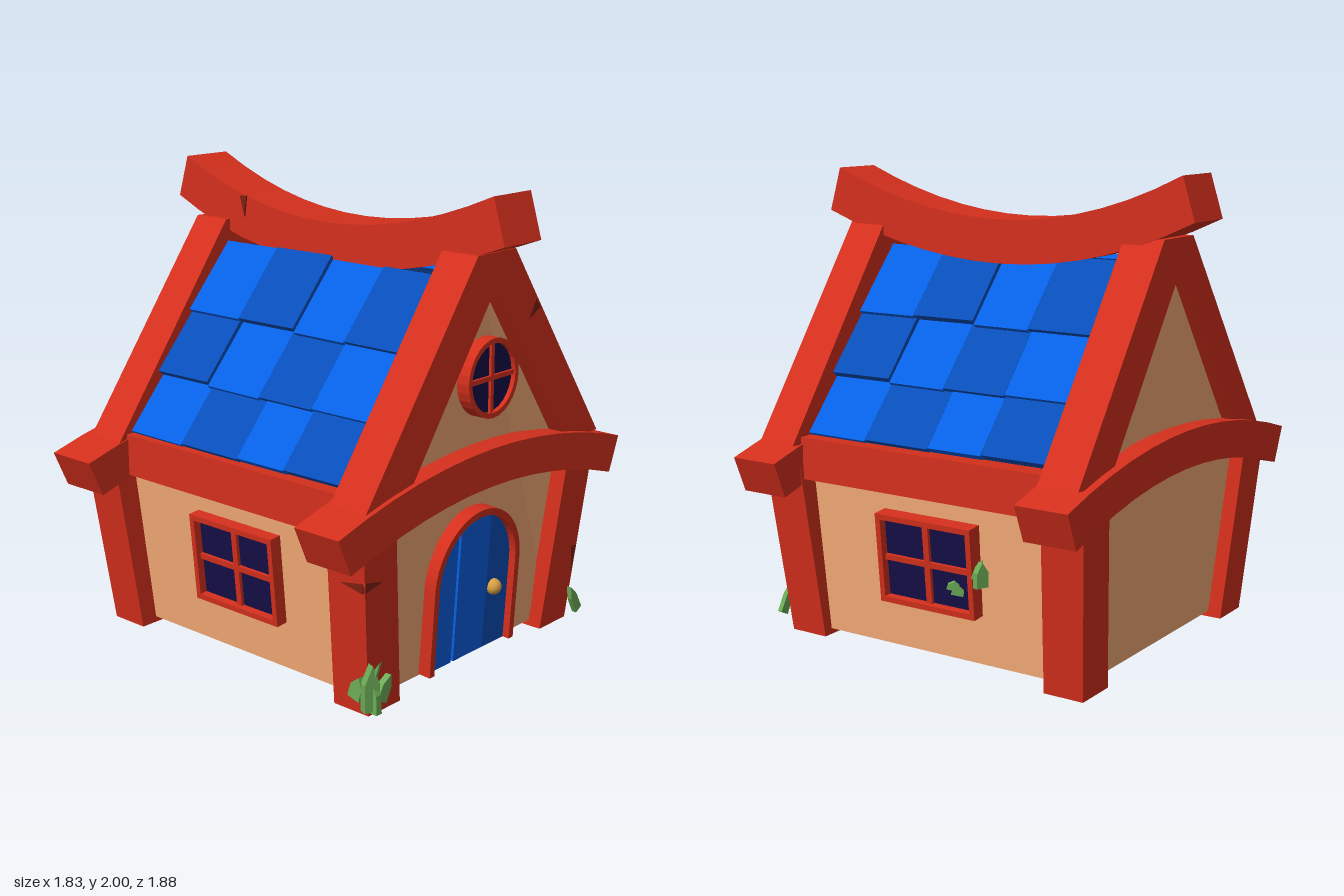
import * as THREE from 'three';

const mat = (color) => new THREE.MeshStandardMaterial({ color, flatShading: true });
const M = {
  wood: mat(0xd42f1c), crack: mat(0x7c1d12), wall: mat(0xf5ab76), glass: mat(0x150e48),
  blue: mat(0x0660e4), blueDark: mat(0x084eba), gap: mat(0x0a2a60), leaf: mat(0x6bab56), brass: new THREE.MeshStandardMaterial({ color: 0xd8a045 }),
};

function add(parent, name, geometry, material, x = 0, y = 0, z = 0) {
  const mesh = new THREE.Mesh(geometry, material);
  mesh.name = name;
  mesh.position.set(x, y, z);
  parent.add(mesh);
  return mesh;
}
const box = (w, h, d) => new THREE.BoxGeometry(w, h, d);
const poly = (pts) => new THREE.Shape(pts.map(([a, b]) => new THREE.Vector2(a, b)));
const extrude = (shape, depth) => new THREE.ExtrudeGeometry(shape, { depth, bevelEnabled: false, curveSegments: 14 });
// Extrudes a (z, y) outline from x0 to x1
const extrudeX = (shape, x0, x1) => extrude(shape, x1 - x0).rotateY(-Math.PI / 2).translate(x1, 0, 0);

// Moves every vertex by a rule
function warp(geometry, rule) {
  const p = geometry.attributes.position, v = new THREE.Vector3();
  for (let i = 0; i < p.count; i++) {
    rule(v.fromBufferAttribute(p, i));
    p.setXYZ(i, v.x, v.y, v.z);
  }
  geometry.computeVertexNormals();
  return geometry;
}

// Closed band between two curves sampled across their length
function bandShape(top, bottom, n = 12) {
  const pts = [];
  for (let i = 0; i <= n; i++) pts.push(bottom(-1 + (2 * i) / n));
  for (let i = n; i >= 0; i--) pts.push(top(-1 + (2 * i) / n));
  return poly(pts);
}

// Group on a wall: local z points outward, tilt leans it with the wall
function mount(parent, name, x, y, z, turn, tilt) {
  const g = new THREE.Group();
  g.name = name;
  g.position.set(x, y, z);
  g.rotation.set(tilt, turn, 0, 'YXZ');
  parent.add(g);
  return g;
}

function squareWindow(g) {
  const w = 0.237, h = 0.193, t = 0.024;
  const frame = poly([[-w, -h], [w, -h], [w, h], [-w, h]]);
  frame.holes.push(poly([[-w + t, -h + t], [-w + t, h - t], [w - t, h - t], [w - t, -h + t]]));
  add(g, 'windowFrame', extrude(frame, 0.075), M.wood, 0, 0, -0.03);
  add(g, 'windowPane', box(2 * w - t, 2 * h - t, 0.02), M.glass);
  add(g, 'windowMullion', box(0.028, 2 * h - t, 0.03), M.wood, 0, 0, 0.01);
  add(g, 'windowTransom', box(2 * w - t, 0.024, 0.03), M.wood, 0, 0, 0.01);
}

function roundWindow(g) {
  const ring = new THREE.Shape().absarc(0, 0, 0.165, 0, Math.PI * 2);
  ring.holes.push(new THREE.Path().absarc(0, 0, 0.143, 0, Math.PI * 2, true));
  add(g, 'roundWindowFrame', extrude(ring, 0.06), M.wood, 0, 0, -0.025);
  add(g, 'roundWindowPane', new THREE.CylinderGeometry(0.15, 0.15, 0.03, 28).rotateX(Math.PI / 2), M.glass);
  add(g, 'roundWindowMullion', box(0.02, 0.3, 0.03), M.wood, 0, 0, 0.012);
  add(g, 'roundWindowTransom', box(0.3, 0.02, 0.03), M.wood, 0, 0, 0.012);
}

// Arched outline from x = a to x = b, cut from an arch of radius r
function archShape(r, spring, a = -r, b = r) {
  const pts = [[a, 0], [b, 0]];
  for (let i = 0; i <= 16; i++) {
    const x = b + ((a - b) * (1 - Math.cos((i / 16) * Math.PI))) / 2;
    pts.push([x, spring + Math.sqrt(Math.max(0, r * r - x * x))]);
  }
  return poly(pts);
}

function door(g) {
  const R = 0.285, r = 0.255, s = 0.375;
  const frame = new THREE.Shape();
  frame.moveTo(-R, 0).lineTo(-r, 0).lineTo(-r, s).absarc(0, s, r, Math.PI, 0, true);
  frame.lineTo(r, 0).lineTo(R, 0).lineTo(R, s).absarc(0, s, R, 0, Math.PI, false);
  add(g, 'doorFrame', extrude(frame, 0.1), M.wood, 0, 0, -0.045);
  add(g, 'doorBacking', extrude(archShape(r, s), 0.02), M.gap, 0, 0, -0.01);
  // Planks with a narrow gap after the first
  [[-r, -0.108, M.blue], [-0.092, 0.105, M.blue], [0.105, r, M.blueDark]].forEach(([a, b, m]) =>
    add(g, 'doorPlank', extrude(archShape(r, s, a, b), 0.015), m, 0, 0, 0.008));
  add(g, 'doorKnob', new THREE.SphereGeometry(0.035, 16, 12), M.brass, 0.147, 0.27, 0.03);
}

// One slope of staggered tiles, lower edges lifted over the row below
function tiles(parent, turn, eaveZ, cols) {
  const slope = mount(parent, 'roofTiles', 0, 0.9, 0, turn, 0);
  const face = new THREE.Group();
  face.position.z = eaveZ;
  face.rotation.x = -Math.atan2(0.57, 0.74);
  slope.add(face);
  const rows = [0, 0.275, 0.585, 0.93];
  add(face, 'roofUnderlay', box(1.22, 0.92, 0.02), M.gap, 0, 0.46, -0.025);
  for (let r = 0; r < 3; r++) for (let c = 0; c < 4; c++) {
    const x0 = cols[r][c], x1 = cols[r][c + 1], h = rows[r + 1] - rows[r];
    const wobble = ((r * 7 + c * 5) % 4 - 1.5) * 0.004;
    const t = add(face, 'roofTile', box(x1 - x0 - 0.004, h + 0.02, 0.03), (r + c) % 2 ? M.blueDark : M.blue,
      (x0 + x1) / 2, rows[r] + h / 2 + wobble, wobble);
    t.rotation.set(-0.07, 0, wobble);
  }
}

function crack(parent, x, y, z, turn, angle, length, width) {
  const g = mount(parent, 'woodCrack', x, y, z, turn, 0);
  add(g, 'crackWedge', extrude(poly([[0, -width / 2], [length, 0], [0, width / 2]]), 0.01), M.crack).rotation.z = angle;
}

// Stubby pointed leaf standing on its base
function leaf(parent, x, y, z, r, h, lean = 0, turn = 0) {
  const g = mount(parent, 'leaf', x, y, z, turn, 0);
  const blade = poly([[-r, 0], [r, 0], [r * 0.9, h * 0.6], [0, h], [-r, h * 0.6]]);
  add(g, 'leafBlade', extrude(blade, r).translate(0, 0, -r / 2), M.leaf).rotation.z = lean;
}

export function createModel() {
  const house = new THREE.Group();
  house.name = 'cottage';

  // Plaster body, flaring upward to the eaves
  const body = extrudeX(poly([[-0.61, 0.025], [0.61, 0.025], [0.68, 0.82], [0, 1.61], [-0.66, 0.82]]), -0.74, 0.74);
  add(house, 'walls', warp(body, (v) => { if (v.y < 0.1) v.x *= 0.93; }), M.wall);

  // Corner posts leaning outward
  for (const sx of [-1, 1]) for (const sz of [-1, 1]) {
    const baseZ = sx > 0 && sz < 0 ? 0.558 : 0.592;
    const post = warp(box(0.18, 0.79, 0.19).translate(0, 0.395, 0), (v) => {
      v.x = v.x * (1 + 0.08 * v.y) + sx * (0.66 + 0.06 * v.y);
      v.z += sz * (baseZ + 0.12 * v.y);
    });
    add(house, 'cornerPost', post, M.wood);
  }

  // Gable rafters and curved tie beams
  const rafters = poly([[0.765, 0.86], [0.11, 1.745], [-0.135, 1.745], [-0.775, 0.86], [-0.545, 0.85], [-0.005, 1.6], [0.535, 0.85]]);
  const tie = bandShape((t) => [0.92 * t + 0.018, 0.955 - 0.145 * t * t], (t) => [0.855 * t + 0.015, 0.795 - 0.14 * t * t]);
  for (const [side, r0, r1, t0, t1] of [['left', 0.62, 0.8, 0.605, 0.827], ['right', -0.775, -0.592, -0.815, -0.58]]) {
    add(house, side + 'GableRafters', extrudeX(rafters, r0, r1), M.wood);
    add(house, side + 'TieBeam', warp(extrudeX(tie, t0, t1), (v) => { v.x -= 0.008 * v.z; }), M.wood);
  }

  // Eave beams and sagging, slightly skewed ridge beam
  for (const s of [-1, 1]) add(house, 'eaveBeam', box(1.28, 0.18, 0.12), M.wood, 0, 0.8, s * 0.662);
  const ridge = bandShape((t) => [0.86 * t, 1.79 + (0.2 - 0.01 * t) * t * t], (t) => [0.917 * t, 1.605 + (0.2 - 0.015 * t) * t * t], 14);
  add(house, 'ridgeBeam', warp(extrude(ridge, 0.24), (v) => { v.z += 0.009 * v.x - 0.147; }), M.wood);

  tiles(house, 0, 0.672, [[-0.61, -0.28, 0.05, 0.31, 0.62], [-0.61, -0.29, 0.01, 0.305, 0.62], [-0.61, -0.29, 0.03, 0.31, 0.62]]);
  tiles(house, Math.PI, 0.645, [[-0.63, -0.32, 0, 0.26, 0.6], [-0.63, -0.32, -0.04, 0.26, 0.6], [-0.63, -0.33, -0.02, 0.25, 0.6]]);

  // Openings
  squareWindow(mount(house, 'frontWindow', 0.018, 0.428, 0.655, 0, 0.09));
  squareWindow(mount(house, 'backWindow', 0, 0.428, -0.655, Math.PI, 0.09));
  roundWindow(mount(house, 'gableWindow', 0.763, 1.235, -0.015, Math.PI / 2, 0));
  door(mount(house, 'door', 0.692, 0.03, 0.02, Math.PI / 2, 0.06));

  // Weathering cracks in the timber
  crack(house, 0.78, 0.56, 0.75, 0, Math.PI, 0.11, 0.04);
  crack(house, 0.783, 0.565, 0.755, Math.PI / 2, 0, 0.1, 0.04);
  crack(house, 0.793, 1.5, -0.3, Math.PI / 2, -2.4, 0.09, 0.05);
  crack(house, 0.765, 0.34, -0.67, Math.PI / 2, -1.7, 0.12, 0.04);
  crack(house, -0.5, 1.855, 0.085, 0, -1.5, 0.09, 0.04);

  // Grass at the posts and loose leaves behind
  leaf(house, 0.815, 0.07, 0.75, 0.034, 0.19, 0, 1.2);
  leaf(house, 0.82, 0.06, 0.74, 0.03, 0.13);
  leaf(house, 0.77, 0.1, 0.74, 0.014, 0.2, -0.45);
  leaf(house, 0.71, 0.08, 0.72, 0.03, 0.1, -0.3);
  leaf(house, 0.8, 0.08, 0.68, 0.028, 0.11, -0.5, Math.PI / 2);
  leaf(house, 0.82, 0.06, -0.645, 0.022, 0.14, 0.5, Math.PI / 2);
  leaf(house, -0.43, 0.47, -0.915, 0.027, 0.1, 0, 1.2);
  leaf(house, -0.36, 0.47, -0.845, 0.02, 0.08, 0.3, 0.6);
  for (const [y, z] of [[0.4, -0.82], [0.37, -0.79]]) leaf(house, -0.23, y, z, 0.024, 0.035, 0.2, 0.6);
  return house;
}
